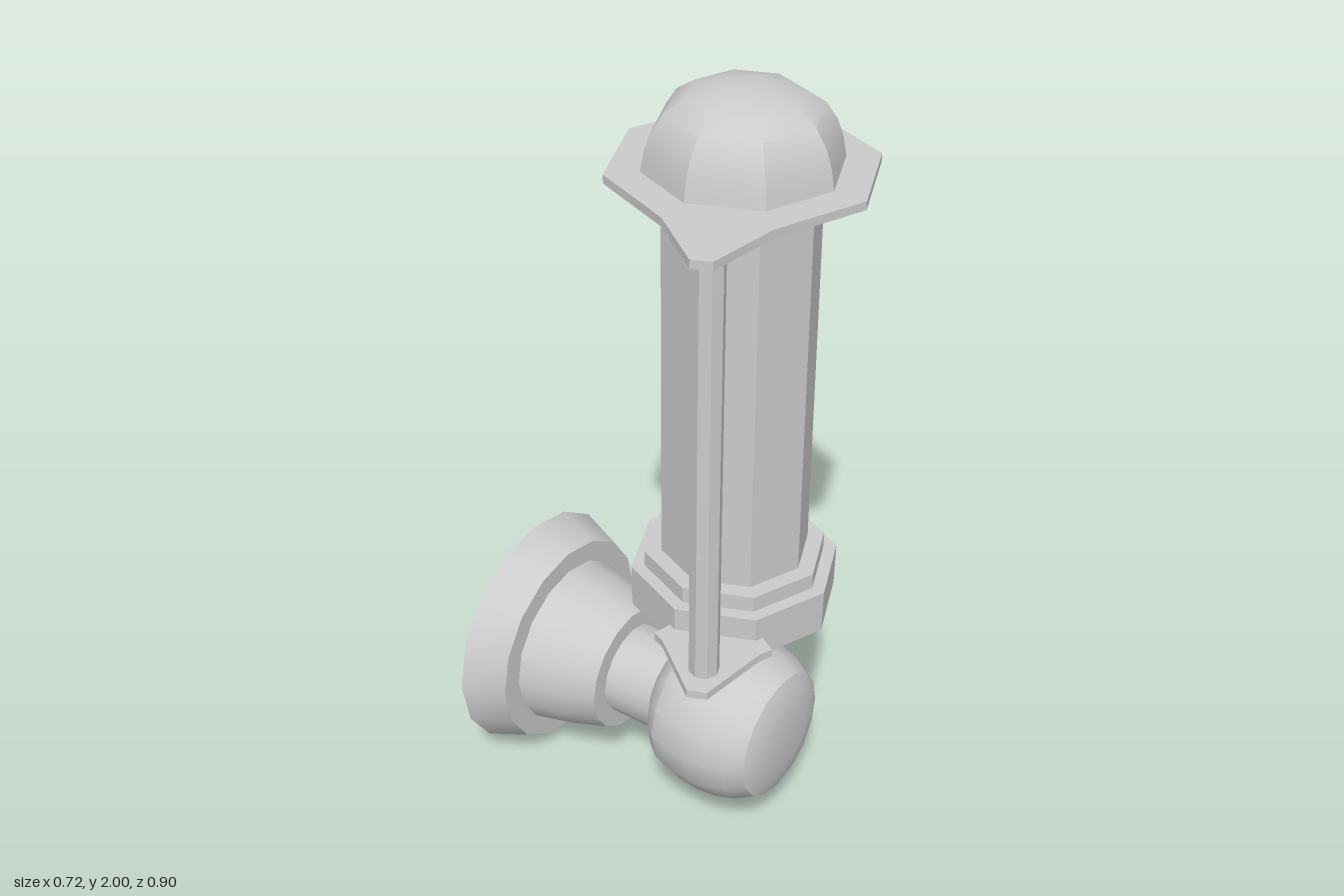
import * as THREE from 'three';
import { toCreasedNormals } from 'three/addons/utils/BufferGeometryUtils.js';

const AXIS_X = 0.043, AXIS_Z = 0.158, MOUNT_Y = 0.32;
const TAB_ANGLE = Math.PI * 7 / 8; // direction of the side rod, seen from above

export function createModel() {
  const model = new THREE.Group();
  const material = new THREE.MeshStandardMaterial({ color: 0xcccccc });

  const add = (name, geometry, x, y, z, crease = 0.5) => {
    const mesh = new THREE.Mesh(toCreasedNormals(geometry, crease), material);
    mesh.name = name;
    mesh.position.set(x, y, z);
    model.add(mesh);
  };
  const lathe = (profile, sides) =>
    new THREE.LatheGeometry(profile.map(([r, h]) => new THREE.Vector2(r, h)), sides);

  // Upright octagonal part, profile as [radius, height]
  const upright = (name, profile, crease) =>
    add(name, lathe(profile, 8), AXIS_X, 0, AXIS_Z, crease);

  // Round part lying along z, profile as [radius, z]
  const lying = (name, profile, sides) =>
    add(name, lathe(profile, sides).rotateX(Math.PI / 2), AXIS_X, MOUNT_Y, 0);

  // Flat horizontal plate from points [x, z] about the column axis
  const plate = (name, points, top, thickness) => {
    const shape = new THREE.Shape(points.map(([x, z]) => new THREE.Vector2(x, z)));
    const geometry = new THREE.ExtrudeGeometry(shape, { depth: thickness, bevelEnabled: false });
    add(name, geometry.rotateX(Math.PI / 2), AXIS_X, top, AXIS_Z);
  };
  // Point given along and across the tab direction
  const tabPoint = (u, v) => {
    const c = Math.cos(TAB_ANGLE), s = Math.sin(TAB_ANGLE);
    return [u * c - v * s, u * s + v * c];
  };

  // Wall mount, neck and ball
  lying('wallFlange', [[0, -0.452], [0.317, -0.452], [0.275, -0.345], [0, -0.345]], 16);
  lying('mountCone', [[0.22, -0.346], [0.198, -0.245], [0.167, -0.145], [0, -0.145]], 16);
  lying('neck', [[0.12, -0.15], [0.12, 0.01]], 16);
  lying('ball', [
    [0.12, -0.01], [0.165, 0.02], [0.19, 0.05], [0.204, 0.1], [0.209, 0.158], [0.204, 0.21],
    [0.19, 0.26], [0.165, 0.303], [0.13, 0.318], [0.08, 0.326], [0, 0.328],
  ], 16);

  // Stem and base collar
  upright('stem', [[0.06, 0.49], [0.06, 0.58], [0.065, 0.6], [0.065, 0.65]]);
  upright('collar', [
    [0, 0.635], [0.065, 0.635], [0.115, 0.668], [0.245, 0.7], [0.247, 0.81],
    [0.215, 0.81], [0.215, 0.85], [0, 0.85],
  ]);

  // Column, upper ring and dome
  upright('column', [[0.175, 0.84], [0.175, 1.78]]);
  upright('upperRing', [[0, 1.77], [0.217, 1.77], [0.217, 1.81]]);
  upright('dome', [
    [0.219, 1.82], [0.21, 1.87], [0.196, 1.91], [0.17, 1.95], [0.125, 1.98], [0.065, 1.995], [0, 2],
  ]);

  // Upper plate: octagon with a tapering tab on one side
  const tip = [tabPoint(0.428, -0.023), tabPoint(0.428, 0.023)];
  const outline = [];
  for (let i = 0; i < 8; i++) {
    const a = i * Math.PI / 4;
    outline.push([0.295 * Math.cos(a), 0.295 * Math.sin(a)]);
    if (i === 3) outline.push(...tip);
  }
  plate('upperPlate', outline, 1.825, 0.02);

  // Lower tab, set into the collar
  const side = [[0.2725, 0.113], [0.25, 0.137], [0.19, 0.09]];
  plate('lowerTab', [
    ...tip,
    ...side.map(([u, v]) => tabPoint(u, v)),
    ...side.map(([u, v]) => tabPoint(u, -v)).reverse(),
  ], 0.75, 0.02);

  // Side rod between the tabs
  const [rodX, rodZ] = tabPoint(0.35, 0);
  add('sideRod', new THREE.CylinderGeometry(0.035, 0.035, 1.07, 8),
    AXIS_X + rodX, 1.275, AXIS_Z + rodZ);

  return model;
}
